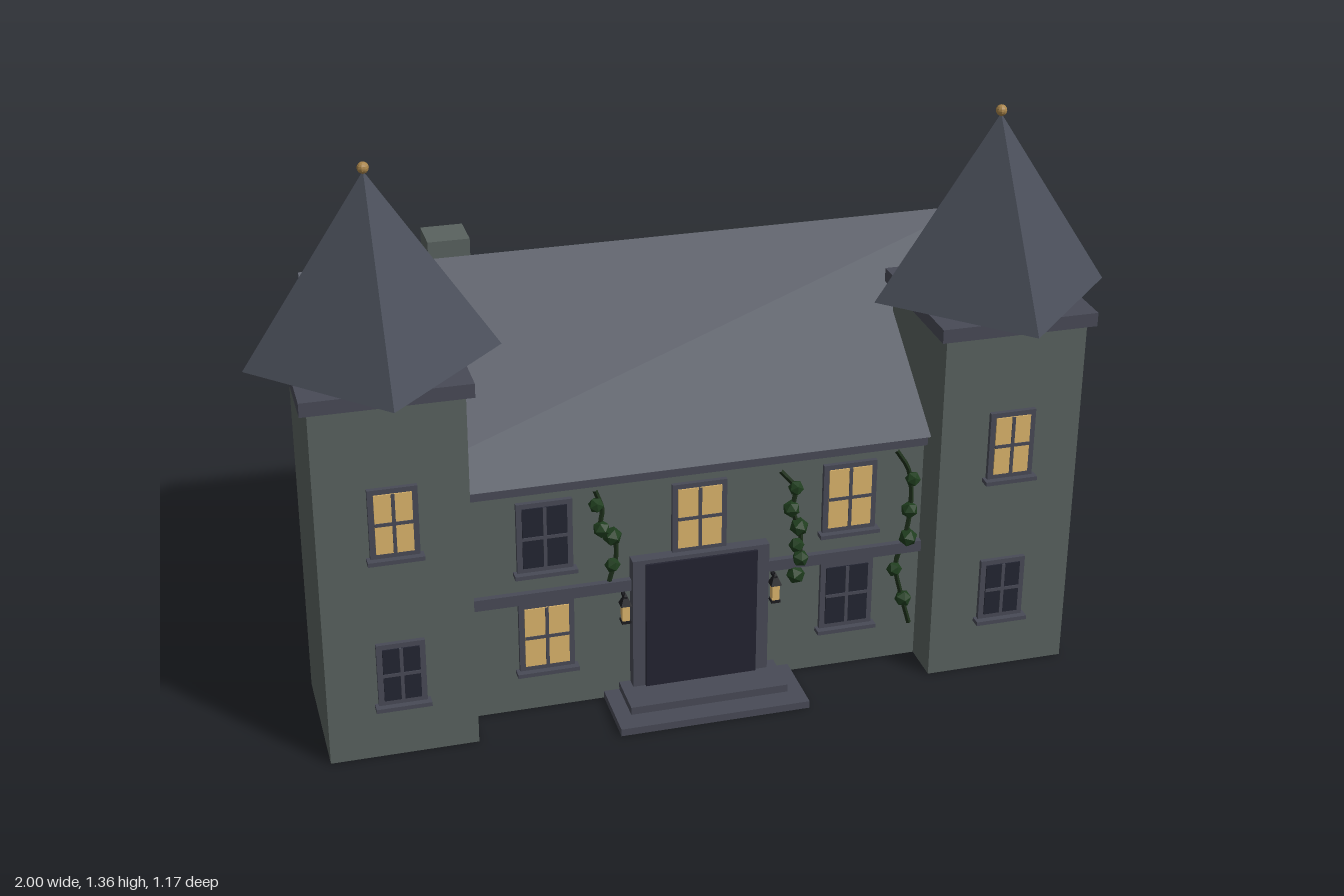
import * as THREE from 'three';

const mat = (name, color) => {
  const m = new THREE.MeshStandardMaterial({ color, flatShading: true });
  m.name = name;
  return m;
};

export function createModel() {
  const stone = mat('stone wall', 0x59625f);
  const slate = mat('slate roof', 0x4a4f5a);
  const trim = mat('dark trim', 0x484a56);
  const darkGlass = mat('dark glass', 0x232532);
  const litGlass = mat('lit glass', 0xdbb46c);
  const doorPaint = mat('door paint', 0x232330);
  const brass = mat('brass', 0xa8844a);
  const iron = mat('black iron', 0x1c1c20);
  const leafGreen = mat('ivy leaf', 0x1f3d1e);
  const stemGreen = mat('ivy stem', 0x1d2f1a);

  const model = new THREE.Group();
  model.name = 'manor';

  const add = (name, geo, material, x, y, z, parent = model) => {
    const m = new THREE.Mesh(geo, material);
    m.name = name;
    m.position.set(x, y, z);
    parent.add(m);
    return m;
  };
  // Box given by its ranges on each axis
  const box = (name, material, x0, x1, y0, y1, z0, z1, parent) =>
    add(name, new THREE.BoxGeometry(x1 - x0, y1 - y0, z1 - z0), material,
      (x0 + x1) / 2, (y0 + y1) / 2, (z0 + z1) / 2, parent);

  // Main hall with its two string courses
  const back = -0.541, front = 0.371;
  box('hallWalls', stone, -0.802, 0.802, 0, 0.6, back, front);
  box('floorBand', trim, -0.817, 0.817, 0.29, 0.318, back - 0.015, front + 0.015);
  box('eavesCornice', trim, -0.824, 0.824, 0.576, 0.606, back - 0.022, front + 0.022);

  // Gable roof, drawn in (z, y) and extruded along x
  const gable = new THREE.Shape([
    new THREE.Vector2(-0.412, 0.606),
    new THREE.Vector2(0.585, 0.606),
    new THREE.Vector2(0.086, 0.967),
  ]);
  const roofGeo = new THREE.ExtrudeGeometry(gable, { depth: 1.658, bevelEnabled: false });
  roofGeo.translate(0, 0, -0.829).rotateY(Math.PI / 2);
  add('hallRoof', roofGeo, slate, 0, 0, 0);

  box('chimney', stone, -0.508, -0.406, 0.66, 0.96, -0.307, -0.206);

  // Window: frame, glass, cross bars and sill; y is the middle, z the wall face
  const addWindow = (x, y, z, w, h, glass) => {
    const g = new THREE.Group();
    g.name = 'window';
    g.position.set(x, y, z);
    model.add(g);
    const fw = w / 2, fh = h / 2, gw = fw - 0.013, gh = fh - 0.012;
    box('windowFrame', trim, -fw, fw, -fh, fh, -0.005, 0.011, g);
    box('windowGlass', glass, -gw, gw, -gh, gh, 0.01, 0.014, g);
    box('verticalBar', trim, -0.004, 0.004, -gh, gh, 0.011, 0.016, g);
    box('horizontalBar', trim, -gw, gw, -0.004, 0.004, 0.011, 0.016, g);
    box('windowSill', trim, -fw - 0.008, fw + 0.008, -fh - 0.01, -fh, -0.005, 0.026, g);
  };

  // Hall windows
  addWindow(-0.364, 0.46, front, 0.13, 0.176, darkGlass);
  addWindow(0, 0.46, front, 0.13, 0.176, litGlass);
  addWindow(0.364, 0.46, front, 0.13, 0.176, litGlass);
  addWindow(-0.364, 0.2, front, 0.13, 0.176, litGlass);
  addWindow(0.364, 0.2, front, 0.13, 0.176, darkGlass);

  for (const s of [-1, 1]) {
    // Corner towers with diamond-set spires
    const x = s * 0.717, z = 0.303;
    box('towerWalls', stone, x - 0.17, x + 0.17, 0, 0.885, z - 0.17, z + 0.17);
    box('towerCornice', trim, x - 0.187, x + 0.187, 0.879, 0.912, z - 0.187, z + 0.187);
    add('towerRoof', new THREE.ConeGeometry(0.283, 0.43, 4), slate, x, 1.127, z);
    add('finial', new THREE.SphereGeometry(0.013, 10, 8), brass, x, 1.349, z);
    addWindow(x, 0.6, z + 0.17, 0.11, 0.168, litGlass);
    addWindow(x, 0.219, z + 0.17, 0.11, 0.156, darkGlass);

    // Lanterns beside the door
    const lx = s * 0.181;
    box('lanternBracket', iron, lx - 0.004, lx + 0.004, 0.276, 0.284, front, 0.402);
    box('lanternLight', litGlass, lx - 0.009, lx + 0.009, 0.222, 0.262, 0.387, 0.405);
    box('lanternBase', iron, lx - 0.011, lx + 0.011, 0.215, 0.222, 0.385, 0.407);
    add('lanternCap', new THREE.ConeGeometry(0.019, 0.032, 4).rotateY(Math.PI / 4), iron, lx, 0.278, 0.396);
  }

  // Entrance
  box('lowerStep', trim, -0.228, 0.226, 0, 0.018, 0.36, 0.538);
  box('upperStep', trim, -0.191, 0.189, 0.018, 0.037, 0.36, 0.485);
  box('doorFrame', trim, -0.164, 0.164, 0.037, 0.373, 0.36, 0.4);
  box('door', doorPaint, -0.134, 0.134, 0.037, 0.363, 0.39, 0.406);

  // Ivy: a thin stem with leaf clumps, both as [x, y] on the front wall
  const addIvy = (stem, clumps) => {
    const path = new THREE.CatmullRomCurve3(stem.map(([x, y]) => new THREE.Vector3(x, y, front + 0.008)));
    add('ivyStem', new THREE.TubeGeometry(path, 24, 0.006, 5), stemGreen, 0, 0, 0);
    clumps.forEach(([x, y], i) => {
      const leaf = add('ivyLeaves', new THREE.IcosahedronGeometry(0.019 + (i % 3) * 0.002, 0), leafGreen, x, y, front + 0.014);
      leaf.rotation.set(i, i * 2, 0);
    });
  };
  addIvy(
    [[-0.246, 0.56], [-0.23, 0.51], [-0.233, 0.47], [-0.205, 0.44], [-0.198, 0.39], [-0.215, 0.32]],
    [[-0.245, 0.525], [-0.233, 0.462], [-0.208, 0.44], [-0.208, 0.365]]);
  addIvy(
    [[0.193, 0.55], [0.23, 0.5], [0.225, 0.445], [0.245, 0.38], [0.245, 0.32], [0.23, 0.25]],
    [[0.23, 0.503], [0.22, 0.45], [0.24, 0.4], [0.235, 0.352], [0.245, 0.315], [0.235, 0.273]]);
  addIvy(
    [[0.476, 0.565], [0.508, 0.51], [0.518, 0.42], [0.508, 0.335], [0.487, 0.26], [0.503, 0.18], [0.528, 0.092]],
    [[0.518, 0.487], [0.513, 0.406], [0.513, 0.332], [0.482, 0.25], [0.508, 0.166]]);

  return model;
}
